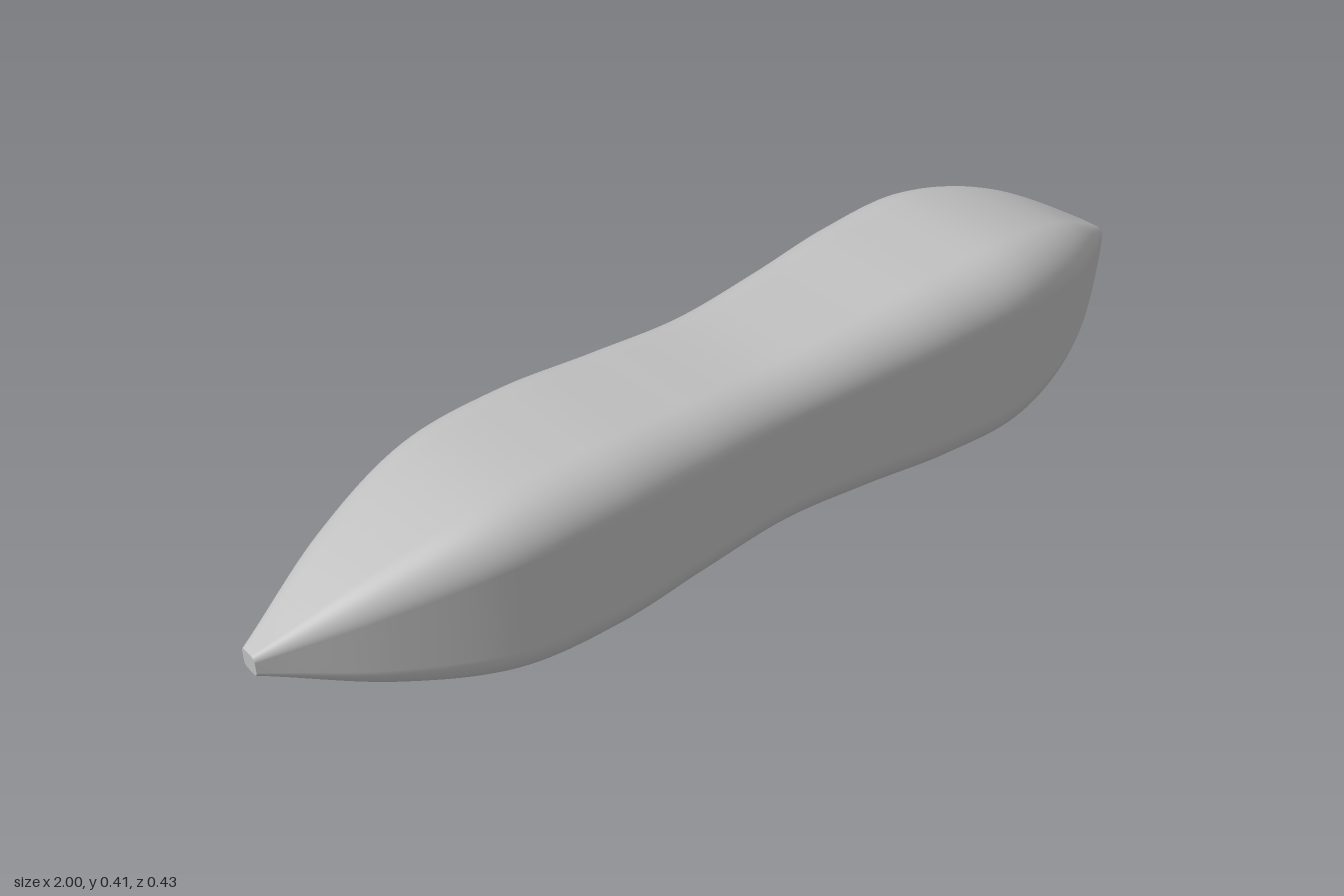
import * as THREE from 'three';

const ROWS = 100, STEP = 2 / ROWS, CENTRE_Y = 0.204;
const POCKET = { from: 60, to: 85, halfWidth: 0.135, ceiling: 0.08 }; // rows 60..85 are x 0.2..0.7

// Half height every 0.2 along x, with one extra value beyond each end
const HALF = [-0.06, 0.02, 0.11, 0.171, 0.184, 0.175, 0.168, 0.182, 0.201, 0.203, 0.15, 0.037, -0.1];

function halfHeight(x) {
  const u = (x + 1) / 0.2, k = Math.min(Math.floor(u + 1e-6), 9), t = u - k;
  const [a, b, c, d] = HALF.slice(k, k + 4);
  return b + 0.5 * t * (c - a + t * (2 * a - 5 * b + 4 * c - d + t * (3 * (b - c) + d - a)));
}

// Rounded-square section: the hull from belly edge over the top, then the belly
const SEG = 12, BELLY = 4;
function ring(x) {
  const hy = halfHeight(x), hz = hy + 0.011 * (1 - x ** 4);
  const ry = 0.48 * hy, rz = 0.48 * hz;
  const edge = Math.min(POCKET.halfWidth, 0.7 * hz);
  const beta = Math.asin((edge - (hz - rz)) / rz), q = Math.PI / 2;
  const points = [];
  const arc = (t0, t1, n, sz, sy) => {
    for (let i = 0; i <= n; i++) {
      const t = t0 + (t1 - t0) * i / n;
      points.push(new THREE.Vector3(x,
        CENTRE_Y + sy * (hy - ry) + ry * Math.sin(t),
        sz * (hz - rz) + rz * Math.cos(t)));
    }
  };
  arc(-q + beta, 0, SEG, 1, -1);
  arc(0, q, SEG, 1, 1);
  arc(q, 2 * q, SEG, -1, 1);
  arc(2 * q, 3 * q - beta, SEG, -1, -1);
  const bellyStart = points.length - 1;
  arc(3 * q - beta, 3 * q, BELLY, -1, -1);
  points.splice(bellyStart + 1, 1);   // shared belly edge
  arc(-q, -q + beta, BELLY, 1, -1);
  points.pop();                       // closes on the first point
  return { points, bellyStart };
}

// Smooth skin over all sections, leaving the belly open at the pocket
function skin(rings) {
  const n = rings[0].points.length, all = [], open = [];
  for (let i = 0; i < ROWS; i++) {
    for (let j = 0; j < n; j++) {
      const a = i * n + j, b = i * n + (j + 1) % n;
      const quad = [a, a + n, b, b, a + n, b + n];
      all.push(...quad);
      const cut = i >= POCKET.from && i < POCKET.to && j >= rings[0].bellyStart;
      if (!cut) open.push(...quad);
    }
  }
  const geometry = new THREE.BufferGeometry().setFromPoints(rings.flatMap(r => r.points));
  geometry.setIndex(all);
  geometry.computeVertexNormals();
  geometry.setIndex(open);
  return geometry;
}

// Upright wall from a rim line to the pocket ceiling
function wall(rim) {
  const points = rim.flatMap(p => [p, new THREE.Vector3(p.x, POCKET.ceiling, p.z)]);
  const index = [];
  for (let i = 0; i < rim.length - 1; i++) {
    const a = 2 * i;
    index.push(a, a + 1, a + 2, a + 2, a + 1, a + 3);
  }
  const geometry = new THREE.BufferGeometry().setFromPoints(points);
  geometry.setIndex(index);
  geometry.computeVertexNormals();
  return geometry;
}

// Flat tip closing one end
function cap(points, side) {
  const shape = new THREE.Shape(points.map(p => new THREE.Vector2(-side * p.z, p.y)));
  return new THREE.ShapeGeometry(shape).rotateY(side * Math.PI / 2).translate(side, 0, 0);
}

export function createModel() {
  const group = new THREE.Group();
  const grey = new THREE.MeshStandardMaterial({ color: 0xbfbfbf, side: THREE.DoubleSide });
  grey.name = 'grey';
  const add = (name, geometry) => {
    const mesh = new THREE.Mesh(geometry, grey);
    mesh.name = name;
    group.add(mesh);
  };

  // Body and its two blunt tips
  const rings = Array.from({ length: ROWS + 1 }, (_, i) => ring(-1 + i * STEP));
  add('body', skin(rings));
  add('wideTip', cap(rings[ROWS].points, 1));
  add('narrowTip', cap(rings[0].points, -1));

  // Rectangular pocket in the underside
  const { from, to, halfWidth, ceiling } = POCKET;
  const start = rings[0].bellyStart;
  const rows = rings.slice(from, to + 1);
  const across = r => [...r.points.slice(start), r.points[0]];
  add('pocketFrontWall', wall(rows.map(r => r.points[0]).reverse()));
  add('pocketBackWall', wall(rows.map(r => r.points[start])));
  add('pocketRightWall', wall(across(rings[from]).reverse()));
  add('pocketLeftWall', wall(across(rings[to])));
  const roof = new THREE.PlaneGeometry((to - from) * STEP, 2 * halfWidth).rotateX(Math.PI / 2);
  roof.translate(-1 + (from + to) / 2 * STEP, ceiling, 0);
  add('pocketCeiling', roof);
  return group;
}
